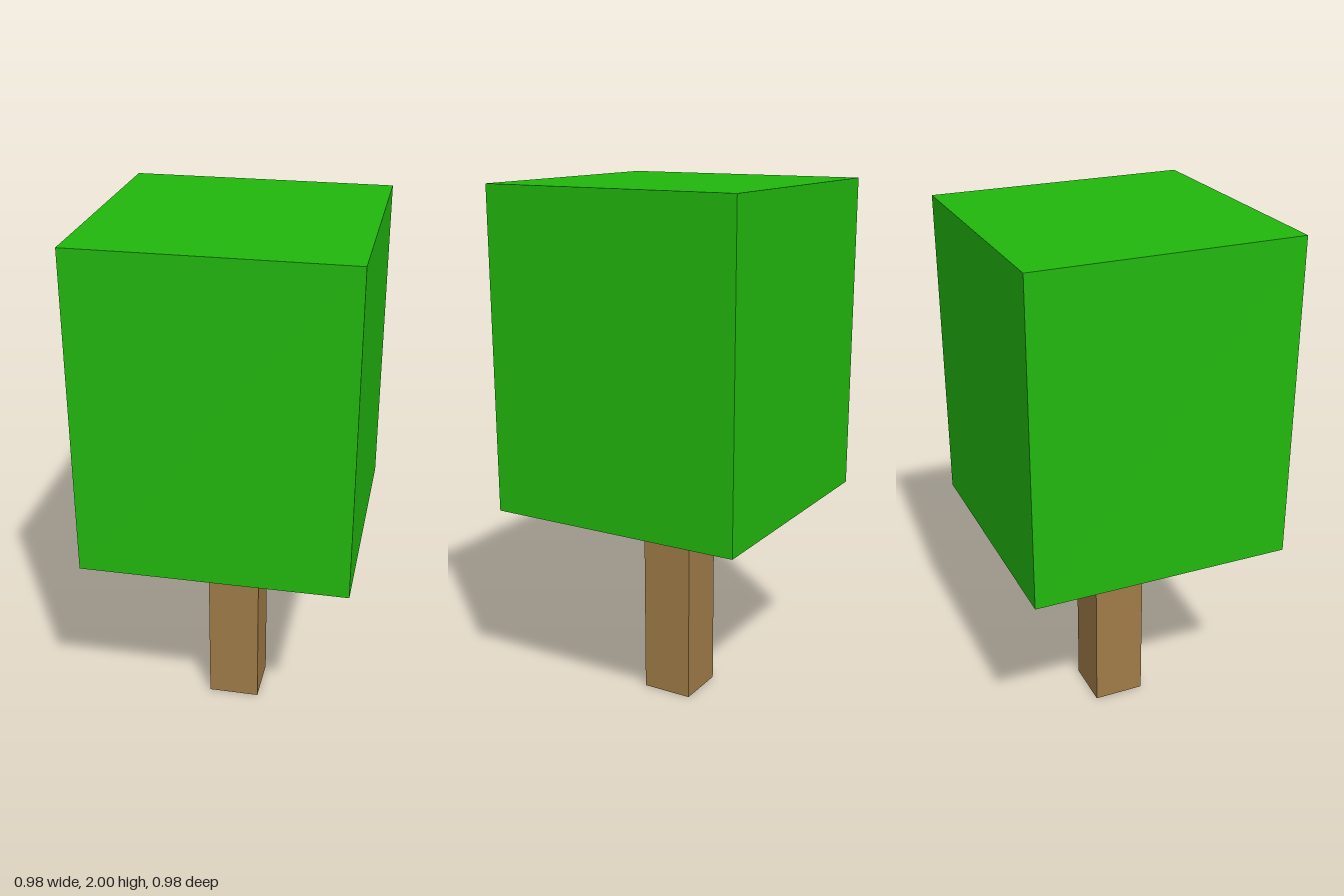
import * as THREE from 'three';

// Adds a square-based block spanning bottom to top
function addBlock(group, name, width, bottom, top, color) {
  const height = top - bottom;
  const mesh = new THREE.Mesh(
    new THREE.BoxGeometry(width, height, width),
    new THREE.MeshStandardMaterial({ color })
  );
  mesh.position.y = bottom + height / 2;
  mesh.name = name;
  group.add(mesh);
}

export function createModel() {
  const tree = new THREE.Group();
  tree.name = 'tree';
  addBlock(tree, 'trunk', 0.2, 0, 0.8, 0xa07c48);
  addBlock(tree, 'foliage', 0.984, 0.8, 2, 0x22b80e);
  return tree;
}
